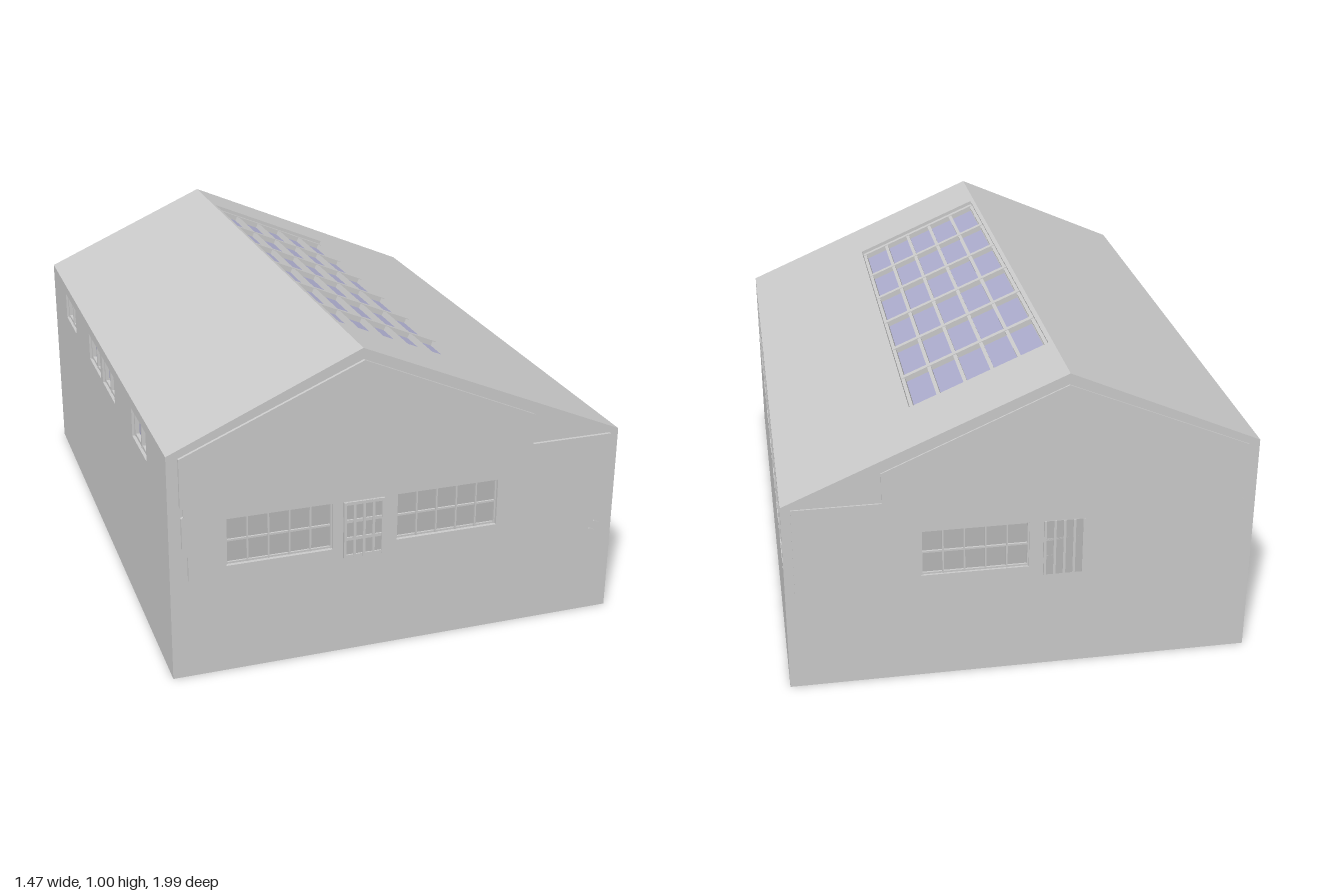
import * as THREE from 'three';

const grey = new THREE.MeshStandardMaterial({ color: 0xcccccc });
const paneGrey = new THREE.MeshStandardMaterial({ color: 0xb8b8b8 });
const glass = new THREE.MeshStandardMaterial({ color: 0xababcc });

// Building section: eaves, ridge and the two gable planes
const XL = -0.735, XR = 0.73, YL = 0.74, YR = 0.635, RX = -0.135, RY = 1.005;
const ZF = 0.97, ZB = -0.99, WALL = 0.04;

// A face has local axes: u across, v up, n outward (n = 0 on the outer surface)
function makeFace(name, origin, v, n) {
  const face = new THREE.Group();
  face.name = name;
  const u = new THREE.Vector3().crossVectors(v, n);
  const m = new THREE.Matrix4().makeBasis(u, v, n).setPosition(...origin);
  m.decompose(face.position, face.quaternion, face.scale);
  return face;
}

const rectPoints = ([u0, v0, u1, v1]) => [[u0, v0], [u1, v0], [u1, v1], [u0, v1]];

// Slab in a face with rectangular openings, from n0 to n1
function addSlab(face, name, points, openings, n0, n1) {
  const toVec = (p) => new THREE.Vector2(p[0], p[1]);
  const shape = new THREE.Shape(points.map(toVec));
  for (const o of openings) shape.holes.push(new THREE.Path(rectPoints(o).map(toVec)));
  const geo = new THREE.ExtrudeGeometry(shape, { depth: n1 - n0, bevelEnabled: false });
  const mesh = new THREE.Mesh(geo.translate(0, 0, n0), grey);
  mesh.name = name;
  face.add(mesh);
}

function addBox(parent, name, w, h, d, x, y, z, mat = grey) {
  const mesh = new THREE.Mesh(new THREE.BoxGeometry(w, h, d), mat);
  mesh.name = name;
  mesh.position.set(x, y, z);
  parent.add(mesh);
}

// Pane with a grid of bars; barU / barV are the widths of upright and level bars
function addWindow(face, name, [u0, v0, u1, v1], cols, rows, o) {
  const g = new THREE.Group();
  g.name = name;
  const w = u1 - u0, h = v1 - v0, cu = (u0 + u1) / 2, cv = (v0 + v1) / 2;
  const depth = o.front - o.pane, n = (o.front + o.pane) / 2;
  addBox(g, 'pane', w, h, 0.004, cu, cv, o.pane - 0.002, o.mat);
  for (let i = 0; i <= cols; i++) {
    const u = u0 + o.barU / 2 + (w - o.barU) * i / cols;
    addBox(g, 'uprightBar', o.barU, h, depth, u, cv, n);
  }
  for (let j = 0; j <= rows; j++) {
    const v = v0 + o.barV / 2 + (h - o.barV) * j / rows;
    addBox(g, 'levelBar', w, o.barV, depth - 0.002, cu, v, n - 0.001);
  }
  face.add(g);
}

// Gable wall with its raised plaster field, windows and door; s mirrors x for the back
function makeGable(name, z, s, windows, plaster) {
  const face = makeFace(name, [0, 0, z], new THREE.Vector3(0, 1, 0), new THREE.Vector3(0, 0, s));
  const flip = (pts) => pts.map(([x, y]) => [s * x, y]);
  const flipRect = ([a, b, c, d]) => (s > 0 ? [a, b, c, d] : [-c, b, -a, d]);
  const holes = windows.map(flipRect);
  const door = flipRect([-0.195, 0.332, -0.065, 0.52]);
  addSlab(face, 'gableWall', flip([[XL, 0], [XR, 0], [XR, YR], [RX, RY], [XL, YL]]), holes, -WALL, 0);
  addSlab(face, 'plasterField', flip([
    [-0.68, 0.33], [0.7, 0.33], [0.7, 0.625], [0.43, 0.625], [0.43, 0.725], [-0.133, 0.97],
    [-0.7, 0.73], [-0.7, 0.575], [-0.69, 0.57], [-0.69, 0.545], [-0.697, 0.54],
    [-0.697, 0.44], [-0.68, 0.41],
  ]), holes, 0, plaster);
  for (const h of holes) {
    addWindow(face, 'gableWindow', h, 5, 2,
      { pane: -0.008, front: 0, barU: 0.005, barV: 0.006, mat: paneGrey });
  }
  addWindow(face, 'door', door, 4, 3,
    { pane: plaster + 0.003, front: plaster * 2, barU: 0.008, barV: 0.01, mat: paneGrey });
  return face;
}

export function createModel() {
  const model = new THREE.Group();
  model.name = 'workshopHall';
  const up = new THREE.Vector3(0, 1, 0);
  const zMid = (ZF + ZB) / 2, len = ZF - ZB;

  // Gables
  const leftBand = [-0.563, 0.365, -0.228, 0.52], rightBand = [-0.02, 0.365, 0.315, 0.52];
  const front = makeGable('frontGable', ZF, 1, [leftBand, rightBand], 0.01);
  model.add(front);
  model.add(makeGable('backGable', ZB, -1, [rightBand], 0.005));

  // Small chips below the plaster corner
  for (const [x, y] of [[0.675, 0.315], [0.66, 0.29]]) {
    addBox(front, 'plasterChip', 0.02, 0.004, 0.006, x, y, 0.003);
    front.children[front.children.length - 1].rotation.z = -0.5;
  }

  // Wall on the +x side with a row of eight large windows (u runs towards -z)
  const tall = makeFace('glazedSideWall', [XR, 0, 0], up, new THREE.Vector3(1, 0, 0));
  const tallWindows = [];
  for (let i = 0; i < 8; i++) {
    const u = -0.943 + i * 0.2425;
    tallWindows.push([u, 0.395, u + 0.205, 0.622]);
  }
  addSlab(tall, 'sideWall', rectPoints([-ZF + 0.001, 0, -ZB - 0.001, YR]), tallWindows, -WALL, 0);
  for (const w of tallWindows) {
    addWindow(tall, 'sideWindow', w, 4, 4,
      { pane: -0.022, front: -0.014, barU: 0.005, barV: 0.006, mat: glass });
  }
  model.add(tall);

  // Wall on the -x side with four small high windows (u runs towards +z)
  const low = makeFace('plainSideWall', [XL, 0, 0], up, new THREE.Vector3(-1, 0, 0));
  const smallWindows = [-0.715, -0.233, 0.01, 0.495].map((u) => [u, 0.61, u + 0.208, 0.705]);
  addSlab(low, 'sideWall', rectPoints([ZB + 0.001, 0, ZF - 0.001, YL]), smallWindows, -WALL, 0);
  for (const w of smallWindows) {
    addWindow(low, 'highWindow', w, 2, 1,
      { pane: -0.022, front: -0.008, barU: 0.012, barV: 0.01, mat: glass });
  }
  model.add(low);

  // Roof slopes, v running from the eave up to the ridge
  const slope = (name, x, y) => {
    const v = new THREE.Vector3(RX - x, RY - y, 0);
    const length = v.length();
    v.normalize();
    const n = new THREE.Vector3(-v.y, v.x, 0).multiplyScalar(Math.sign(v.x));
    return { face: makeFace(name, [x, y, 0], v, n), length, run: Math.abs(v.x) };
  };
  const plain = slope('plainRoof', XL, YL);
  addSlab(plain.face, 'roofSlab', rectPoints([ZB + 0.001, 0, ZF - 0.001, plain.length]), [], -WALL, 0);
  model.add(plain.face);

  // Glazed slope: sunken skylight of six bays, five panes each
  const lit = slope('skylightRoof', XR, YR);
  const skylight = [-0.715, (XR - 0.312) / lit.run, 0.74, (XR + 0.122) / lit.run];
  addSlab(lit.face, 'roofSlab', rectPoints([-ZF + 0.001, 0, -ZB - 0.001, lit.length]), [skylight], -WALL, 0);
  addWindow(lit.face, 'skylight', skylight, 6, 5,
    { pane: -0.03, front: -0.012, barU: 0.018, barV: 0.012, mat: glass });
  model.add(lit.face);

  // Floor with five long glass strips on its underside
  addBox(model, 'floor', XR - XL - 0.002, 0.03, len - 0.002, (XL + XR) / 2, 0.017, zMid);
  for (let i = 0; i < 5; i++) {
    addBox(model, 'floorGlassStrip', 0.148, 0.004, 1.45, -0.42 + i * 0.16, 0.002, -0.013, glass);
  }
  return model;
}
